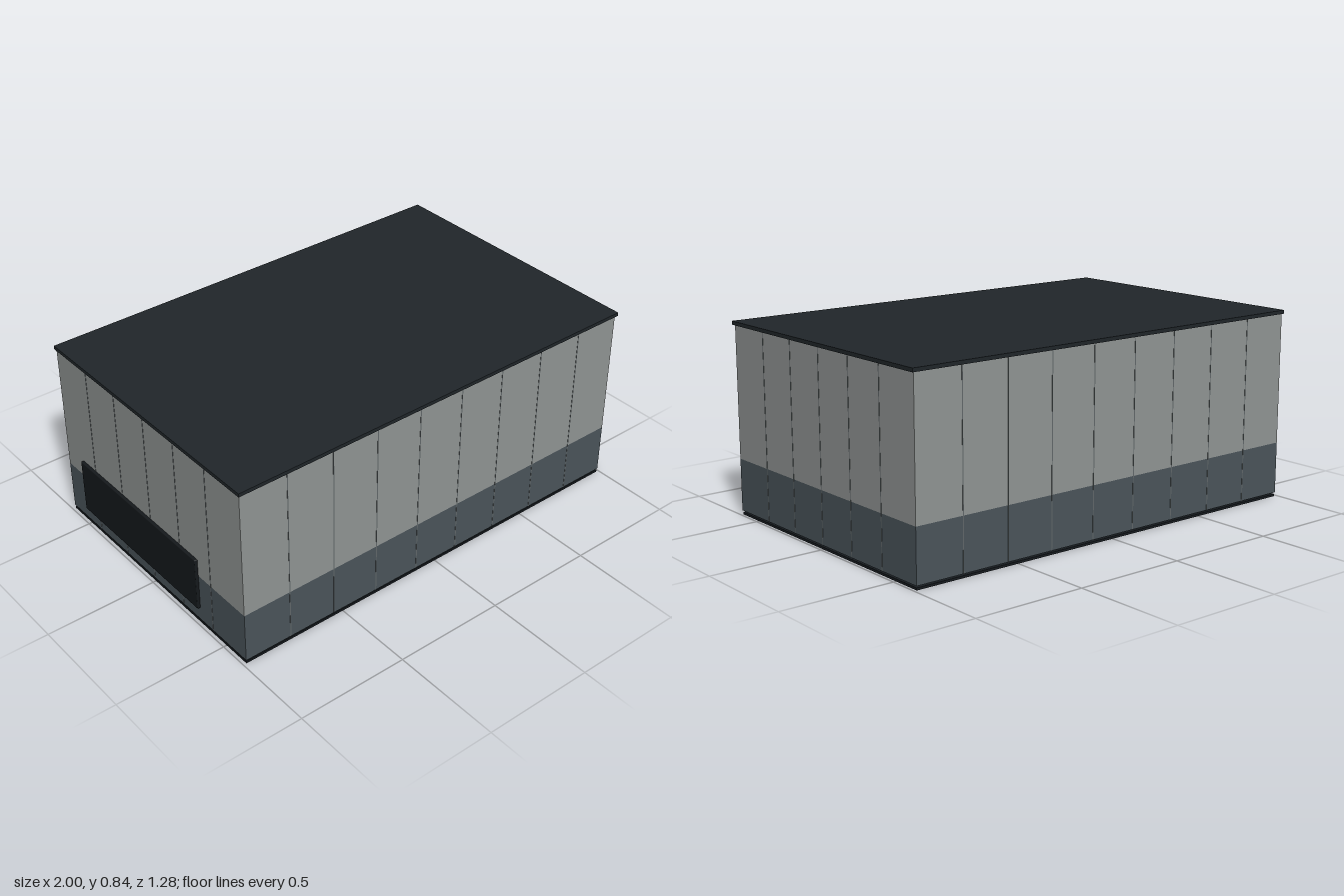
import * as THREE from 'three';
import { RoundedBoxGeometry } from 'three/addons/geometries/RoundedBoxGeometry.js';

const mat = (color) => new THREE.MeshStandardMaterial({ color });

const X0 = -0.987, X1 = 0.99, Z = 0.634;      // outer wall faces
const BASE = 0.018, BAND = 0.247, TOP = 0.826; // wall heights
const T = 0.014;                               // wall thickness

export function createModel() {
  const model = new THREE.Group();
  model.name = 'panelBuilding';

  const wallMat = mat(0x929695);
  const bandMat = mat(0x4b555b);
  const seamMat = mat(0x62696b);
  const roofMat = mat(0x20262a);
  const floorMat = mat(0x171c20);
  const hatchMat = mat(0x15191c);
  const plinthMats = [0x22282c, 0x2b3a4a, 0xb87a1c, 0x22282c, 0x3a4248].map(mat);

  // Box given by its lowest and highest corners
  const block = (name, material, x0, x1, y0, y1, z0, z1, parent = model) => {
    const mesh = new THREE.Mesh(new THREE.BoxGeometry(x1 - x0, y1 - y0, z1 - z0), material);
    mesh.position.set((x0 + x1) / 2, (y0 + y1) / 2, (z0 + z1) / 2);
    mesh.name = name;
    parent.add(mesh);
    return mesh;
  };

  // Floor slab and overhanging flat roof
  block('floor', floorMat, X0 + 0.002, X1 - 0.002, 0, 0.01, -0.632, 0.632);
  block('roof', roofMat, -0.993, 1.0, TOP, 0.842, -0.642, 0.642);

  // Wall of two colours with thin seams between equal panels, built facing +z
  const wall = (name, length, panels) => {
    const g = new THREE.Group();
    g.name = name;
    const h = length / 2;
    block('lowerBand', bandMat, -h, h, BASE, BAND, -T, 0, g);
    block('upperWall', wallMat, -h, h, BAND, TOP, -T, 0, g);
    for (let i = 1; i < panels; i++) {
      const x = -h + (length * i) / panels;
      block('seam', seamMat, x - 0.002, x + 0.002, BASE, TOP, -0.002, 0.0012, g);
    }
    model.add(g);
    return g;
  };
  const midX = (X0 + X1) / 2, longSide = X1 - X0, shortSide = 2 * Z - 2 * T;
  wall('frontWall', longSide, 9).position.set(midX, 0, Z);
  const back = wall('backWall', longSide, 9);
  back.position.set(midX, 0, -Z);
  back.rotation.y = Math.PI;
  const plusX = wall('leftWall', shortSide, 6);
  plusX.position.set(X1, 0, 0);
  plusX.rotation.y = Math.PI / 2;
  const minusX = wall('rightWall', shortSide, 6);
  minusX.position.set(X0, 0, 0);
  minusX.rotation.y = -Math.PI / 2;

  // Dark hatch on the end wall
  const hatch = new THREE.Mesh(new RoundedBoxGeometry(0.016, 0.25, 0.84, 2, 0.004), hatchMat);
  hatch.name = 'hatch';
  hatch.position.set(-0.992, 0.205, -0.09);
  model.add(hatch);

  // Low plinths inside, glimpsed through the gap under the walls
  for (let i = 0; i < 8; i++) {
    for (let j = 0; j < 5; j++) {
      const x = -0.8 + i * 0.23, z = -0.5 + j * 0.25;
      block('plinth', plinthMats[(i * 2 + j * 3) % 5],
        x - 0.09, x + 0.09, 0.01, 0.06, z - 0.09, z + 0.09);
    }
  }
  return model;
}
